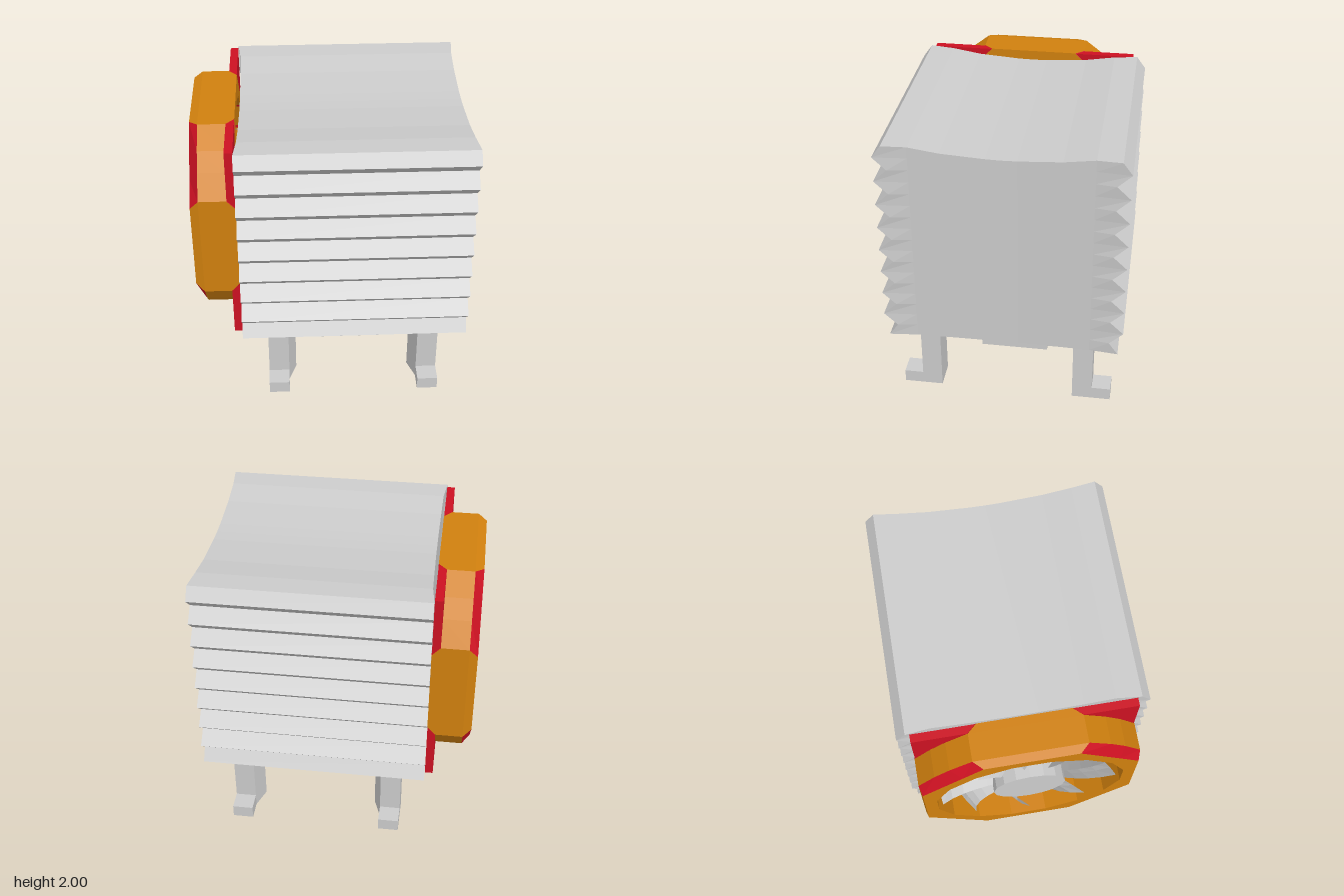
import * as THREE from 'three';

const CX = 0.145;   // centre of the cooler block and base
const FAN_Y = 1.285;

const mat = (color, side = THREE.FrontSide) =>
  new THREE.MeshStandardMaterial({ color, flatShading: true, side });
const grey = mat(0xcccccc);
const orange = mat(0xd0800e);
const red = mat(0xcc1122);
const bladeGrey = mat(0xcccccc, THREE.DoubleSide);

function add(parent, name, geometry, material) {
  const mesh = new THREE.Mesh(geometry, material);
  mesh.name = name;
  parent.add(mesh);
  return mesh;
}

// Move every vertex of a geometry by a rule, then facet it
function reshape(geometry, rule) {
  const p = geometry.attributes.position;
  for (let i = 0; i < p.count; i++) p.setXYZ(i, ...rule(p.getX(i), p.getY(i), p.getZ(i)));
  const out = geometry.index ? geometry.toNonIndexed() : geometry;
  out.computeVertexNormals();
  return out;
}

// Four-sided bar between two levels; each level is [outerX, innerX, ...] at outer and inner z
// level: { y, out: [z, xInner, xOuter], in: [z, xInner, xOuter] }, mirrored by sx and sz
function bar(bottom, top, sx, sz) {
  return reshape(new THREE.BoxGeometry(1, 1, 1), (x, y, z) => {
    const level = y > 0 ? top : bottom;
    const row = z * sz > 0 ? level.out : level.in;
    return [CX + sx * row[x * sx > 0 ? 2 : 1], level.y, sz * row[0]];
  });
}

// Cooler block: ribbed front and back, dished top and slightly hollow ends
function coolerBlock() {
  const rows = 17;
  const inset = [0, 0.1, 0.38, 0.58];
  const topY = [1.945, 1.947, 1.965, 1.995, 2];
  const endInset = [0.025, 0.025, 0.022, 0.018, 0];
  return reshape(new THREE.BoxGeometry(1, 1, 1, 1, rows, 8), (x, y, z) => {
    const j = Math.round((y + 0.5) * rows);
    const k = Math.round(Math.abs(z) * 8);
    const edge = j === 0 ? 0.77 : j === rows ? 0.74 : j % 2 ? 0.71 : 0.8;
    const py = j === rows ? topY[k] : 0.55 + j * 0.0855;
    const pz = Math.sign(z) * (k === 4 ? edge : inset[k]);
    return [CX + Math.sign(x) * (0.765 - endInset[k]), py, pz];
  });
}

// Fan shroud: 16-point loops swept along x, with red diagonal chamfers on the outer rim
function fanShroud(group) {
  const loop = (x, corner) => {
    const pts = [];
    for (let q = 0; q < 4; q++) {
      const c = Math.cos(q * Math.PI / 2), s = Math.sin(q * Math.PI / 2);
      for (const [z, y] of corner) pts.push([x, FAN_Y + z * s + y * c, z * c - y * s]);
    }
    return pts;
  };
  const barrel = [[0.715, 0.36], [0.605, 0.505], [0.505, 0.605], [0.36, 0.715]];
  const rim = [[0.7, 0.3], [0.567, 0.433], [0.433, 0.567], [0.3, 0.7]];
  const back = [[0.715, 0.3], [0.577, 0.438], [0.438, 0.577], [0.3, 0.715]];
  const bore = [0, 1, 2, 3].map(i => {
    const a = (i + 0.5) * Math.PI / 8;
    return [0.63 * Math.cos(a), 0.63 * Math.sin(a)];
  });
  const loops = [loop(-0.62, back), loop(-0.675, barrel), loop(-0.855, barrel),
    loop(-0.91, rim), loop(-0.91, bore), loop(-0.62, bore), loop(-0.62, back)];
  const orangeV = [], redV = [];
  for (let s = 0; s < loops.length - 1; s++) {
    for (let i = 0; i < 16; i++) {
      const n = (i + 1) % 16;
      const a = loops[s][i], b = loops[s][n], c = loops[s + 1][n], d = loops[s + 1][i];
      const diagonal = i % 4 !== 3 && (s === 0 || s === 2);
      (diagonal ? redV : orangeV).push(...a, ...b, ...c, ...a, ...c, ...d);
    }
  }
  const build = v => {
    const g = new THREE.BufferGeometry();
    g.setAttribute('position', new THREE.Float32BufferAttribute(v, 3));
    g.computeVertexNormals();
    return g;
  };
  add(group, 'shroudRing', build(orangeV), orange);
  add(group, 'shroudCorners', build(redV), red);
}

// Square mounting plate behind the shroud
function mountingPlate() {
  const h = 0.712;
  const shape = new THREE.Shape([[-h, -h], [h, -h], [h, h], [-h, h]].map(p => new THREE.Vector2(...p)));
  shape.holes.push(new THREE.Path().absarc(0, 0, 0.64, 0, Math.PI * 2, true));
  return new THREE.ExtrudeGeometry(shape, { depth: 0.053, bevelEnabled: false, curveSegments: 8 })
    .rotateY(Math.PI / 2).translate(-0.674, FAN_Y, 0);
}

// One pitched, swept blade pointing along +z from the fan axis
function fanBlade() {
  return reshape(new THREE.PlaneGeometry(2, 1, 3, 5), (v, y) => {
    const u = y + 0.5;
    const r = 0.2 + 0.4 * u;
    const half = 0.08 + 0.065 * u;
    const angle = 0.35 * u * u + v * half * 0.85 / r;
    return [-0.765 - v * half * 0.8, r * Math.sin(angle), r * Math.cos(angle)];
  });
}

export function createModel() {
  const model = new THREE.Group();
  model.name = 'cooler';
  add(model, 'finBlock', coolerBlock(), grey);

  // Fan
  const fan = new THREE.Group();
  fan.name = 'fan';
  model.add(fan);
  fanShroud(fan);
  add(fan, 'mountingPlate', mountingPlate(), red);
  const hub = add(fan, 'fanHub', new THREE.CylinderGeometry(0.24, 0.24, 0.25, 16), grey);
  hub.rotation.z = Math.PI / 2;
  hub.position.set(-0.76, FAN_Y, 0);
  const blade = fanBlade();
  for (let i = 0; i < 9; i++) {
    const mesh = add(fan, 'fanBlade', blade, bladeGrey);
    mesh.position.y = FAN_Y;
    mesh.rotation.x = (i / 9) * Math.PI * 2;
  }

  // Contact plate under the block
  const base = add(model, 'contactPlate', new THREE.BoxGeometry(0.43, 0.07, 0.48), grey);
  base.position.set(CX, 0.115, 0);

  // Struts, legs and feet at the four corners
  const legSection = y => ({ y, out: [0.6, 0.455, 0.597], in: [0.463, 0.405, 0.597] });
  const footSection = y => ({ y, out: [0.73, 0.455, 0.597], in: [0.6, 0.455, 0.597] });
  for (const sx of [-1, 1]) {
    for (const sz of [-1, 1]) {
      add(model, 'strut', bar(
        { y: 0.14, out: [0.19, 0.135, 0.19], in: [0.08, 0.08, 0.16] },
        { y: 0.555, out: [0.75, 0.14, 0.375], in: [0.46, 0.09, 0.375] }, sx, sz), grey);
      add(model, 'leg', bar(legSection(0), legSection(0.56), sx, sz), grey);
      add(model, 'foot', bar(footSection(0), footSection(0.09), sx, sz), grey);
    }
  }
  return model;
}
